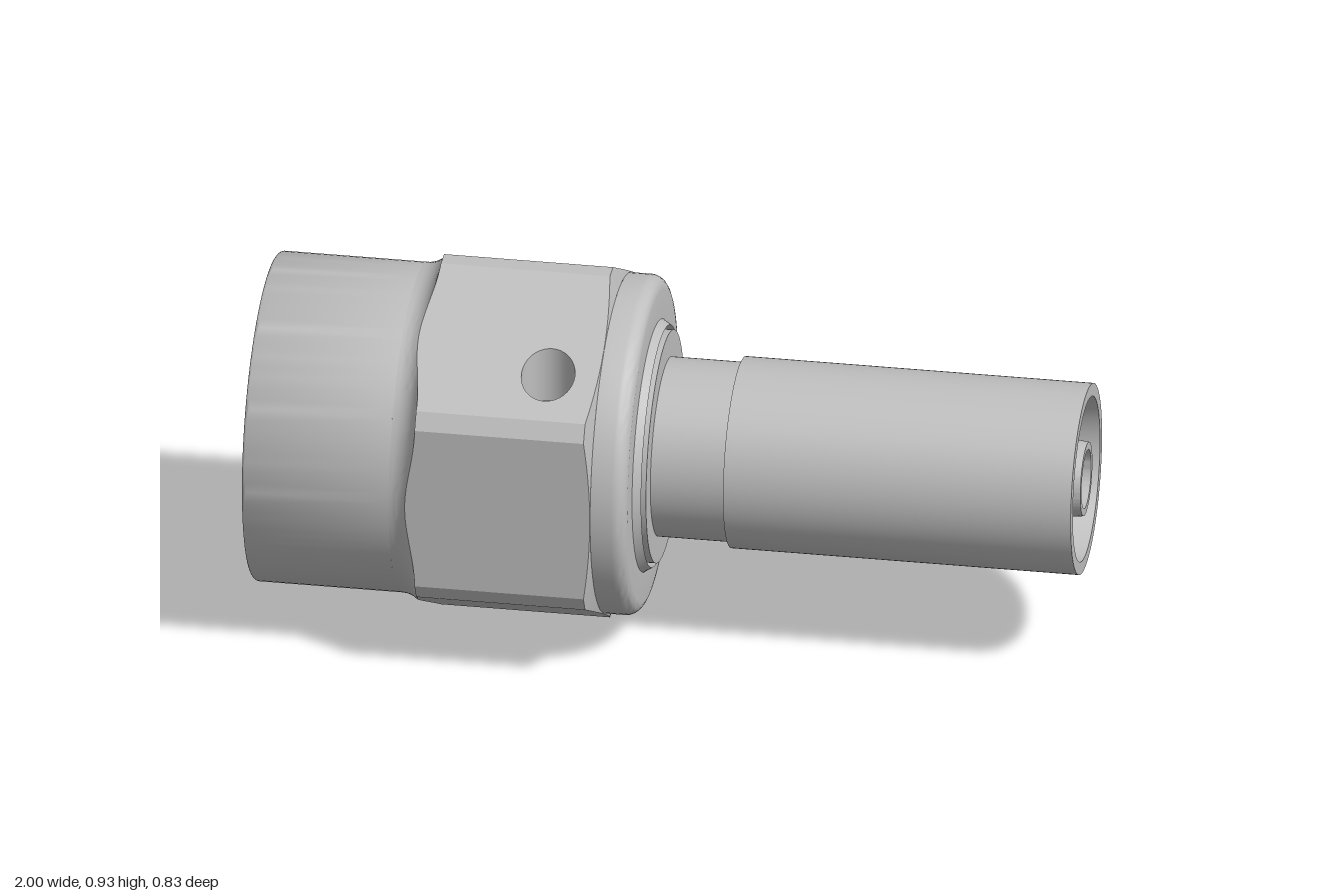
import * as THREE from 'three';
import { toCreasedNormals } from 'three/addons/utils/BufferGeometryUtils.js';

const AXIS_Y = 0.466;      // height of the common axis, which runs along x
const FLAT = 0.415;        // hexagon centre to flat
const CORNER = 0.466;      // hexagon centre to trimmed corner
const COLLAR = 0.4;        // radius of the round sleeve
const FILLET = 0.066;      // sweep from sleeve to hexagon
const HALF = Math.acos(FLAT / CORNER); // half angle covered by one flat

// Turned part about x, from [radius, x] points
function turned(points, crease = 0.6) {
  const lathe = new THREE.LatheGeometry(points.map(([r, x]) => new THREE.Vector2(r, x)), 96);
  lathe.rotateZ(-Math.PI / 2);
  return toCreasedNormals(lathe, crease);
}

// Rounded profile corner as a run of [radius, x] points
function arc(r, x, size, from, to, steps = 6) {
  return Array.from({ length: steps + 1 }, (_, i) => {
    const a = from + (to - from) * i / steps;
    return [r + size * Math.cos(a), x + size * Math.sin(a)];
  });
}

const filletAngle = r => Math.acos(Math.max(0, 1 - (r - COLLAR) / FILLET));
const leftX = r => -0.64 + FILLET * Math.sin(filletAngle(r));
const rightX = r => -0.145 - (r - 0.413) * 0.3;
const flatRadius = a => FLAT / Math.cos(a); // a is measured from the flat's middle
const SEGMENTS = 24;
const flatAngle = i => -HALF + 2 * HALF * i / SEGMENTS;

// Hexagon flanks with the filleted left end and chamfered right end
function hexagonGeometry() {
  const columns = [];
  for (let face = 0; face < 6; face++) {
    for (let i = 0; i <= SEGMENTS; i++) {
      const a = flatAngle(i), r = flatRadius(a), theta = Math.PI / 6 + face * Math.PI / 3 + a;
      const section = [];
      for (let j = 0; j < 8; j++) {
        const phi = filletAngle(r) * j / 7;
        section.push([-0.64 + FILLET * Math.sin(phi), COLLAR + FILLET * (1 - Math.cos(phi))]);
      }
      section.push([rightX(r), r], [-0.145, 0.413]);
      columns.push(section.map(([x, q]) => [x, q * Math.cos(theta), q * Math.sin(theta)]));
    }
  }
  const positions = [];
  columns.forEach((col, c) => {
    const next = columns[(c + 1) % columns.length];
    for (let j = 0; j < col.length - 1; j++) {
      if (j === 7 && c < SEGMENTS) continue; // the drilled flat is a separate mesh
      positions.push(...col[j], ...next[j], ...col[j + 1]);
      positions.push(...next[j], ...next[j + 1], ...col[j + 1]);
    }
  });
  const geometry = new THREE.BufferGeometry();
  geometry.setAttribute('position', new THREE.Float32BufferAttribute(positions, 3));
  return toCreasedNormals(geometry, 0.35);
}

// Upper front flat, drawn in plan and lifted onto its sloping plane
const HOLE = { x: -0.27, z: 0.277, r: 0.065 };
const slopeY = z => (FLAT - 0.5 * z) / Math.cos(Math.PI / 6);

function drilledFlatGeometry() {
  const left = [], right = [];
  for (let i = 0; i <= SEGMENTS; i++) {
    const a = flatAngle(i), r = flatRadius(a), z = r * Math.sin(Math.PI / 6 + a);
    left.push(new THREE.Vector2(leftX(r), -z));
    right.push(new THREE.Vector2(rightX(r), -z));
  }
  const shape = new THREE.Shape([...left, ...right.reverse()]);
  shape.holes.push(new THREE.Path().absarc(HOLE.x, -HOLE.z, HOLE.r, 0, Math.PI * 2, true));
  const geometry = new THREE.ShapeGeometry(shape, 20);
  const p = geometry.attributes.position;
  for (let i = 0; i < p.count; i++) {
    const z = -p.getY(i);
    p.setXYZ(i, p.getX(i), slopeY(z), z);
  }
  geometry.computeVertexNormals();
  return geometry;
}

// Vertical blind hole whose rim follows the sloping flat
function holeWallGeometry() {
  const geometry = new THREE.CylinderGeometry(HOLE.r, HOLE.r, 1, 40, 1, true);
  const p = geometry.attributes.position;
  for (let i = 0; i < p.count; i++) {
    const z = p.getZ(i) + HOLE.z;
    p.setXYZ(i, p.getX(i) + HOLE.x, p.getY(i) > 0 ? slopeY(z) : 0.215, z);
  }
  return geometry;
}

export function createModel() {
  const steel = new THREE.MeshStandardMaterial({ color: 0xbfbfbf, side: THREE.DoubleSide });
  steel.name = 'steel grey';
  const model = new THREE.Group();
  model.name = 'hoseFitting';
  const add = (parent, name, geometry) => {
    const mesh = new THREE.Mesh(geometry, steel);
    mesh.name = name;
    parent.add(mesh);
    return mesh;
  };

  // Swivel nut: round sleeve, bore and rounded end collar
  const nut = new THREE.Group();
  nut.name = 'swivelNut';
  add(nut, 'nutSleeve', turned([
    [0.413, -0.145],
    ...arc(0.378, -0.095, 0.035, 0, Math.PI / 2),
    [0.307, -0.06], [0.294, -0.04],
    [0.294, -0.955], [0.365, -1],
    ...arc(0.39, -0.99, 0.01, -Math.PI / 2, 0, 4),
    [COLLAR, -0.64],
  ]));
  add(nut, 'nutHexagon', hexagonGeometry());
  add(nut, 'drilledFlat', drilledFlatGeometry());
  add(nut, 'wireHoleWall', holeWallGeometry());
  const floor = add(nut, 'wireHoleFloor', new THREE.CircleGeometry(HOLE.r, 40).rotateX(-Math.PI / 2));
  floor.position.set(HOLE.x, 0.215, HOLE.z);

  // Stem: shoulder, neck, tube with a tapered cup and the inner nipple
  const stem = new THREE.Group();
  stem.name = 'stem';
  add(stem, 'tubeStem', turned([
    [0.072, -0.4], [0.265, -0.4], [0.283, -0.38], [0.283, -0.03],
    [0.218, -0.03], [0.218, 0.15], [0.2325, 0.15], [0.2325, 1],
    [0.201, 1], [0.175, 0.8], [0.113, 0.8], [0.09, 1],
    [0.072, 1], [0.072, -0.4],
  ]));

  model.add(nut, stem);
  nut.position.y = stem.position.y = AXIS_Y;
  return model;
}
